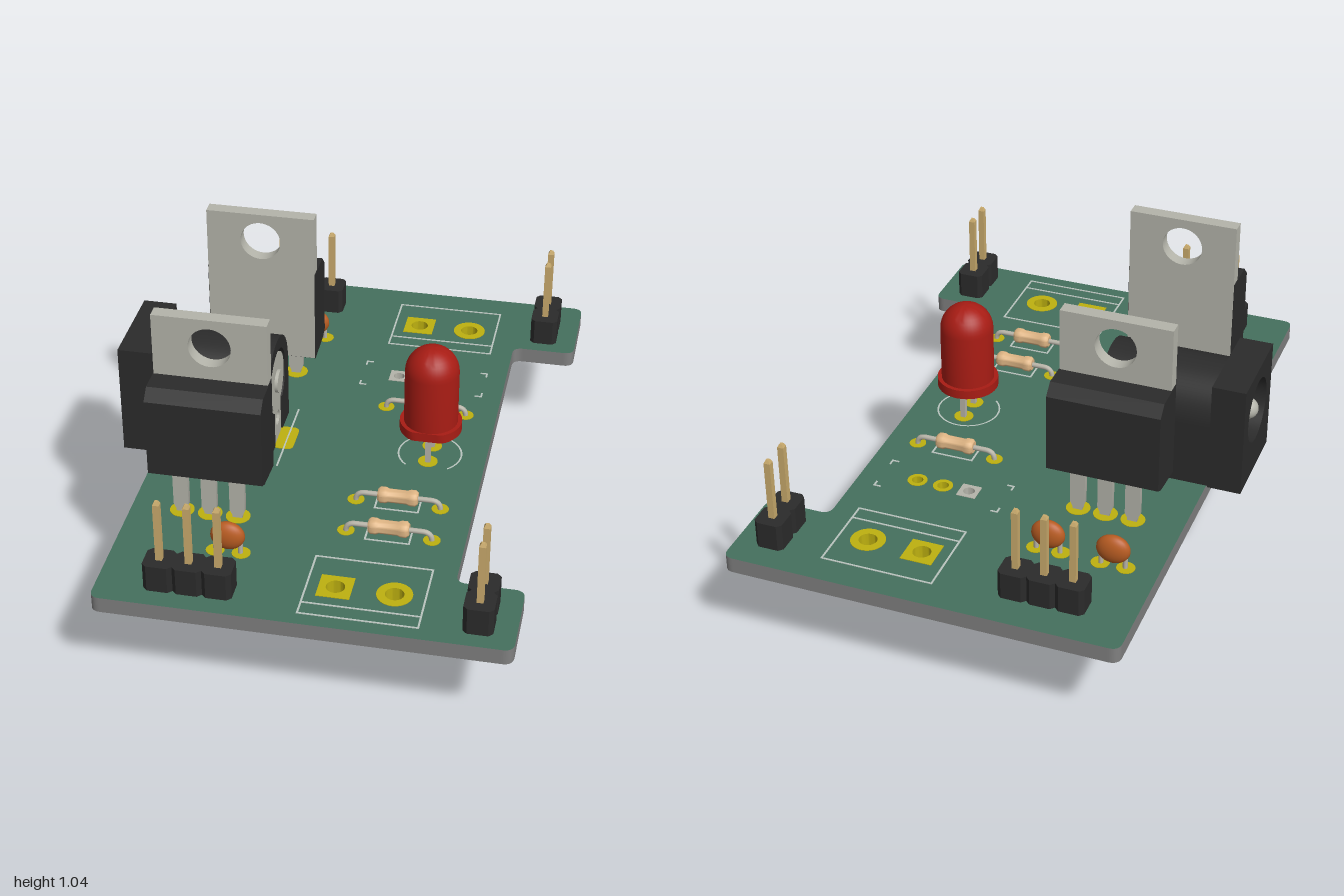
import * as THREE from 'three';
import { toCreasedNormals } from 'three/addons/utils/BufferGeometryUtils.js';

const mat = (color) => new THREE.MeshStandardMaterial({ color });
const M = {
  green: mat(0x45705d), edge: mat(0x808080), black: mat(0x2b2b2b), steel: mat(0xb4b4aa), gold: mat(0xc9aa6c),
  pad: mat(0xbdb010), red: mat(0xa81c14), orange: mat(0xb85c22), tan: mat(0xe0b685), silk: mat(0xb9c4be), wire: mat(0xb8b4a8),
};
const TOP = 0.356, BOT = 0.302;
const V2 = (x, y) => new THREE.Vector2(x, y);

export function createModel() {
  const root = new THREE.Group();
  const add = (parent, name, geo, material, x = 0, y = 0, z = 0) => {
    const m = new THREE.Mesh(geo, material);
    m.name = name;
    m.position.set(x, y, z);
    parent.add(m);
    return m;
  };
  const group = (name, parent = root) => {
    const g = new THREE.Group();
    g.name = name;
    parent.add(g);
    return g;
  };
  const circle = (x, y, r) => new THREE.Path().absarc(x, y, r, 0, Math.PI * 2, true);
  const extrude = (shape, depth) =>
    toCreasedNormals(new THREE.ExtrudeGeometry(shape, { depth, bevelEnabled: false, curveSegments: 20 }), 0.6);
  // side profile (shape x = -z) swept along x
  const alongX = (shape, x0, x1) => extrude(shape, x1 - x0).rotateY(Math.PI / 2).translate(x0, 0, 0);
  // plan outline (shape y = -z) swept upward
  const upward = (shape, y0, y1) => extrude(shape, y1 - y0).rotateX(-Math.PI / 2).translate(0, y0, 0);
  const rect = (w, h, x = 0, y = 0) => new THREE.Shape([
    V2(x - w / 2, y - h / 2), V2(x + w / 2, y - h / 2), V2(x + w / 2, y + h / 2), V2(x - w / 2, y + h / 2)]);
  const rounded = (pts, r) => {
    const s = new THREE.Shape();
    pts.forEach((p, i) => {
      const a = pts[(i + pts.length - 1) % pts.length], b = pts[(i + 1) % pts.length];
      const p0 = a.clone().sub(p).setLength(r).add(p), p1 = b.clone().sub(p).setLength(r).add(p);
      if (i) s.lineTo(p0.x, p0.y); else s.moveTo(p0.x, p0.y);
      s.quadraticCurveTo(p.x, p.y, p1.x, p1.y);
    });
    s.closePath();
    return s;
  };

  // circuit board with open drill holes
  const drills = [];
  for (const z of [-0.764, 0.806]) drills.push([0.135, z, 0.03, 0.053, true], [0.32, z, 0.03, 0.057, false]);
  [0.12, 0.212, 0.303].forEach((x, i) => drills.push([x, -0.41, 0.019, 0.033, i === 0]));
  const outline = rounded([V2(-0.597, -1), V2(0.712, -1), V2(0.712, -0.71), V2(0.495, -0.71),
    V2(0.495, 0.68), V2(0.712, 0.68), V2(0.712, 1), V2(-0.597, 1)], 0.035);
  for (const [x, z, r] of drills) outline.holes.push(circle(x, -z, r + 0.004));
  const boardGeo = new THREE.ExtrudeGeometry(outline, { depth: TOP - BOT, bevelEnabled: false, curveSegments: 16 });
  add(root, 'board', boardGeo.rotateX(-Math.PI / 2), [M.green, M.edge], 0, BOT, 0);

  // plated pads, passing through the board
  const pads = group('pads');
  const addPad = (x, z, size, square, hole = 0, material = M.pad) => {
    const s = square ? rect(size * 2, size * 2) : new THREE.Shape().absarc(0, 0, size, 0, Math.PI * 2);
    if (hole) s.holes.push(circle(0, 0, hole));
    add(pads, 'pad', upward(s, BOT - 0.002, TOP + 0.002), material, x, 0, z);
  };
  drills.forEach(([x, z, r, size, square], i) => addPad(x, z, size, square, r, i === 4 ? M.steel : M.pad));
  for (const [x, z, w, d] of [[-0.19, 0.046, 0.07, 0.13], [-0.33, 0.225, 0.13, 0.1], [-0.42, 0.046, 0.07, 0.13]])
    add(pads, 'slotPad', upward(rounded([V2(-w / 2, -d / 2), V2(w / 2, -d / 2), V2(w / 2, d / 2), V2(-w / 2, d / 2)], 0.025),
      BOT - 0.002, TOP + 0.002), M.pad, x, 0, z);

  // printed outlines
  const silk = group('printedOutlines');
  const line = (x0, z0, x1, z1) => add(silk, 'line',
    new THREE.BoxGeometry(Math.abs(x1 - x0) + 0.006, 0.002, Math.abs(z1 - z0) + 0.006), M.silk, (x0 + x1) / 2, TOP + 0.001, (z0 + z1) / 2);
  const frame = (x0, z0, x1, z1) => {
    line(x0, z0, x1, z0); line(x0, z1, x1, z1); line(x0, z0, x0, z1); line(x1, z0, x1, z1);
  };
  for (const [z0, z1, zl] of [[-0.9, -0.62, -0.673], [0.665, 0.95, 0.897]]) {
    frame(0.045, z0, 0.417, z1);
    line(0.045, zl, 0.417, zl);
  }
  for (const [x, sx] of [[-0.008, 1], [0.425, -1]]) for (const [z, sz] of [[-0.485, 1], [-0.335, -1]]) {
    line(x, z, x + sx * 0.02, z);
    line(x, z, x, z + sz * 0.02);
  }
  line(-0.185, -0.13, -0.185, 0.21);
  const ring = new THREE.RingGeometry(0.103, 0.109, 40, 1, -Math.PI / 3 + 0.2, Math.PI * 5 / 3 - 0.4);
  add(silk, 'ledRing', ring.rotateX(-Math.PI / 2).rotateY(0), M.silk, 0.305, TOP + 0.002, 0.042);

  // pin headers
  const header = (name, pins) => {
    const g = group(name);
    const h = 0.047, c = 0.014;
    const block = new THREE.Shape([V2(-h, -h + c), V2(-h + c, -h), V2(h - c, -h), V2(h, -h + c),
      V2(h, h - c), V2(h - c, h), V2(-h + c, h), V2(-h, h - c)]);
    for (const [x, z] of pins) {
      add(g, 'headerBlock', upward(block, TOP, 0.449), M.black, x, 0, z);
      add(g, 'headerPin', new THREE.BoxGeometry(0.021, 0.395, 0.021), M.gold, x, 0.4585, z);
      for (const [y, s] of [[0.6615, 1], [0.2555, -1]]) {
        const tip = new THREE.CylinderGeometry(0.007, 0.0148, 0.011, 4).rotateY(Math.PI / 4);
        if (s < 0) tip.rotateX(Math.PI);
        add(g, 'pinTip', toCreasedNormals(tip, 0.3), M.gold, x, y, z);
      }
      addPad(x, z, 0.035, false);
    }
  };
  header('backHeader', [-0.398, -0.305, -0.212].map((x) => [x, -0.843]));
  header('frontHeader', [-0.398, -0.305, -0.212].map((x) => [x, 0.888]));
  header('backEdgeHeader', [[0.595, -0.868], [0.595, -0.775]]);
  header('frontEdgeHeader', [[0.595, 0.806], [0.595, 0.899]]);

  // voltage regulators
  const regulator = (name, z, turn) => {
    const g = group(name);
    g.position.set(-0.338, 0, z);
    g.rotation.y = turn;
    const body = new THREE.Shape([[0.004, 0.825], [0.125, 0.825], [0.161, 0.79], [0.161, 0.52], [0.13, 0.505], [0.004, 0.492]]
      .map(([d, y]) => V2(-d, y)));
    add(g, 'regulatorBody', alongX(body, -0.187, 0.187), M.black);
    const tab = rect(0.37, 0.545, 0, 0.7675);
    tab.holes.push(circle(0, 0.94, 0.069));
    add(g, 'heatTab', extrude(tab, 0.046), M.steel);
    for (const x of [-0.093, 0, 0.093]) {
      const leg = new THREE.Shape([[-0.025, 0.51], [-0.025, 0.385], [-0.016, 0.365], [-0.016, 0.03], [-0.006, 0],
        [0.006, 0], [0.016, 0.03], [0.016, 0.365], [0.025, 0.385], [0.025, 0.51]].map(([a, y]) => V2(a, y)));
      add(g, 'regulatorLeg', extrude(leg, 0.02), M.steel, x, 0, 0.106);
      addPad(-0.338 + x, z + Math.cos(turn) * 0.116, 0.04, false);
    }
  };
  regulator('frontRegulator', 0.394, 0);
  regulator('backRegulator', -0.255, Math.PI);

  // power jack
  const jack = group('powerJack');
  const jz = 0.046, jy = 0.585;
  const face = rect(0.324, 0.389, 0, 0.5505);
  face.holes.push(circle(0, jy, 0.11));
  add(jack, 'jackFace', alongX(face, -0.715, -0.602), M.black, 0, 0, jz);
  const arch = () => new THREE.Shape().moveTo(0.155, TOP).lineTo(0.155, jy).absarc(0, jy, 0.155, 0, Math.PI).lineTo(-0.155, TOP);
  const barrel = arch();
  barrel.holes.push(circle(0, jy, 0.11));
  add(jack, 'jackBarrel', alongX(barrel, -0.602, -0.26), M.black, 0, 0, jz);
  add(jack, 'jackWall', alongX(arch(), -0.26, -0.245), M.black, 0, 0, jz);
  const k = Math.asin(0.055 / 0.112);
  const rim = arch().lineTo(-0.055, TOP).absarc(0, jy, 0.112, -Math.PI / 2 - k, -Math.PI / 2 + k, true).lineTo(0.055, TOP);
  add(jack, 'jackRim', alongX(rim, -0.245, -0.215), M.black, 0, 0, jz);
  const q = Math.asin(0.45);
  const contact = new THREE.Shape().moveTo(0.045, 0.28).lineTo(0.045, jy - 0.09)
    .absarc(0, jy, 0.1, -Math.PI / 2 + q, Math.PI * 1.5 - q).lineTo(-0.045, 0.28).absarc(0, 0.28, 0.045, Math.PI, Math.PI * 2);
  contact.holes.push(circle(0, 0.437, 0.026), circle(0, 0.272, 0.022));
  add(jack, 'rearContact', alongX(contact, -0.236, -0.218), M.steel, 0, 0, jz);
  const rivet = new THREE.CylinderGeometry(0.04, 0.04, 0.012, 24).rotateZ(Math.PI / 2);
  add(jack, 'contactRivet', rivet, M.steel, -0.213, jy, jz);
  const pin = new THREE.CapsuleGeometry(0.036, 0.4, 8, 20).rotateZ(Math.PI / 2);
  add(jack, 'centrePin', pin, M.steel, -0.482, jy, jz);
  const lug = (top) => {
    const s = new THREE.Shape().moveTo(0.045, top).lineTo(-0.045, top).lineTo(-0.045, 0.28).absarc(0, 0.28, 0.045, Math.PI, Math.PI * 2);
    s.holes.push(circle(0, 0.272, 0.022));
    return s;
  };
  add(jack, 'frontLug', alongX(lug(0.37), -0.43, -0.41), M.steel, 0, 0, jz);
  add(jack, 'sideLug', extrude(lug(0.5), 0.014), M.steel, -0.33, 0, 0.212);

  // indicator lamp
  const led = group('indicatorLamp');
  led.position.set(0.305, 0, 0.042);
  const profile = [V2(0, 0.465), V2(0.104, 0.465), V2(0.104, 0.497), V2(0.09, 0.497)];
  for (let i = 0; i <= 10; i++) {
    const a = i / 10 * Math.PI / 2;
    profile.push(V2(Math.max(0, 0.09 * Math.cos(a)), 0.687 + 0.09 * Math.sin(a)));
  }
  const lamp = new THREE.LatheGeometry(profile, 40);
  const p = lamp.attributes.position;
  for (let i = 0; i < p.count; i++) p.setZ(i, Math.min(p.getZ(i), 0.091)); // flat on the flange
  add(led, 'lampBody', toCreasedNormals(lamp, 0.6), M.red);
  for (const z of [-0.046, 0.046]) {
    add(led, 'lampLead', new THREE.BoxGeometry(0.018, 0.2, 0.018), M.wire, 0, 0.367, z);
    addPad(0.305, 0.042 + z, 0.033, false);
  }

  // resistors
  for (const z of [-0.21, 0.345, 0.515]) {
    const g = group('resistor');
    g.position.set(0.249, 0, z);
    const prof = [[0, -0.066], [0.02, -0.066], [0.027, -0.058], [0.027, -0.04], [0.023, -0.03],
      [0.023, 0.03], [0.027, 0.04], [0.027, 0.058], [0.02, 0.066], [0, 0.066]].map(([r, y]) => V2(r, y));
    add(g, 'resistorBody', toCreasedNormals(new THREE.LatheGeometry(prof, 20).rotateZ(Math.PI / 2), 0.8), M.tan, 0, 0.387, 0);
    for (const s of [-1, 1]) {
      const path = new THREE.CurvePath();
      const P = (x, y) => new THREE.Vector3(s * x, y, 0);
      path.add(new THREE.LineCurve3(P(0.06, 0.387), P(0.108, 0.387)));
      path.add(new THREE.QuadraticBezierCurve3(P(0.108, 0.387), P(0.139, 0.387), P(0.139, 0.356)));
      path.add(new THREE.LineCurve3(P(0.139, 0.356), P(0.139, 0.25)));
      add(g, 'resistorLead', new THREE.TubeGeometry(path, 28, 0.009, 10), M.wire);
      add(g, 'leadEnd', new THREE.CircleGeometry(0.009, 10).rotateX(Math.PI / 2), M.wire, s * 0.139, 0.25, 0);
      addPad(0.249 + s * 0.139, z, 0.028, false);
    }
    frame(0.178, z - 0.035, 0.32, z + 0.035);
  }

  // disc capacitors
  for (const [x, z] of [[-0.232, -0.615], [-0.448, -0.618], [-0.232, 0.696]]) {
    const g = group('capacitor');
    g.position.set(x, 0, z);
    add(g, 'capacitorBody', new THREE.SphereGeometry(1, 24, 16).scale(0.056, 0.05, 0.029), M.orange, 0, 0.42, 0);
    for (const s of [-1, 1]) {
      add(g, 'capacitorLead', new THREE.CylinderGeometry(0.008, 0.008, 0.13, 10), M.wire, s * 0.04, 0.345, 0);
      addPad(x + s * 0.042, z, 0.03, false);
    }
  }
  return root;
}
